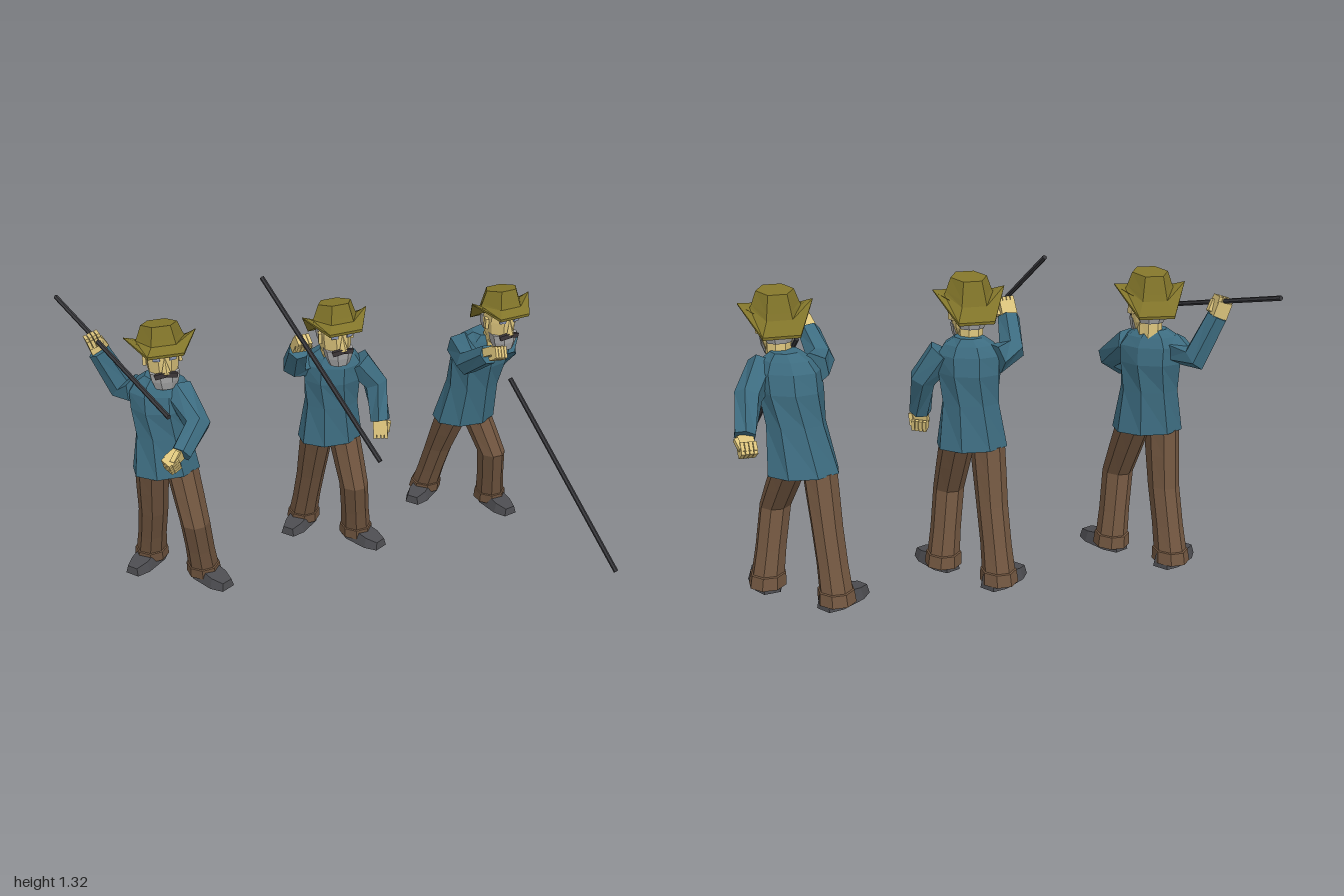
import * as THREE from 'three';

const mat = (color) => new THREE.MeshStandardMaterial({ color, flatShading: true });
const COAT = mat(0x3d6c80), PANTS = mat(0x70553f), HAT = mat(0x82752a), SKIN = mat(0xdcc47c);
const GREY = mat(0xa2a2a2), DARK = mat(0x3c3638), SHOE = mat(0x4c4c50), EYE = mat(0x8592b0), POLE = mat(0x38383c);
const UP = new THREE.Vector3(0, 1, 0);
const vec = (p) => new THREE.Vector3(...p);

function add(parent, name, geometry, material, pos = [0, 0, 0], rot = [0, 0, 0]) {
  const m = new THREE.Mesh(geometry, material);
  m.name = name;
  m.position.set(...pos);
  m.rotation.set(...rot);
  parent.add(m);
}
const box = (w, h, d) => new THREE.BoxGeometry(w, h, d);

// Skin closed rings of points, with a fan closing each end
function loft(rows, cols, point) {
  const rings = [];
  for (let i = 0; i < rows; i++) {
    const ring = [];
    for (let j = 0; j < cols; j++) ring.push(point(i, (j / cols) * Math.PI * 2, j));
    rings.push(ring);
  }
  const flat = (ring) => {
    const c = new THREE.Vector3();
    ring.forEach((p) => c.addScaledVector(p, 1 / cols));
    return ring.map(() => c);
  };
  rings.unshift(flat(rings[0]));
  rings.push(flat(rings[rows]));
  const pos = [];
  const tri = (...ps) => ps.forEach((p) => pos.push(p.x, p.y, p.z));
  for (let i = 0; i <= rows; i++) {
    for (let j = 0; j < cols; j++) {
      const k = (j + 1) % cols;
      const [a, b, c, d] = [rings[i][j], rings[i + 1][j], rings[i + 1][k], rings[i][k]];
      if (i < rows) tri(a, b, c);
      if (i > 0) tri(a, c, d);
    }
  }
  const g = new THREE.BufferGeometry();
  g.setAttribute('position', new THREE.Float32BufferAttribute(pos, 3));
  g.computeVertexNormals();
  return g;
}

// Level rings: [x, y, z, radiusX, radiusZ, yaw]
function stack(rings, cols = 8) {
  return loft(rings.length, cols, (i, a) => {
    const [x, y, z, rx, rz, yaw = 0] = rings[i];
    const t = a + Math.PI / cols;
    return new THREE.Vector3(rx * Math.cos(t), 0, rz * Math.sin(t)).applyAxisAngle(UP, yaw).add(vec([x, y, z]));
  });
}

// Rings square to a bent path
function limb(path, radii, cols = 6) {
  const pts = path.map(vec);
  return loft(pts.length, cols, (i, a) => {
    const dir = pts[Math.min(i + 1, pts.length - 1)].clone().sub(pts[Math.max(i - 1, 0)]).normalize();
    const q = new THREE.Quaternion().setFromUnitVectors(UP, dir);
    return new THREE.Vector3(radii[i] * Math.cos(a), 0, radii[i] * Math.sin(a)).applyQuaternion(q).add(pts[i]);
  });
}

// Fist reaching from the wrist along a direction
function hand(parent, name, wrist, tip) {
  const g = new THREE.Group();
  g.name = name;
  g.position.copy(vec(wrist));
  g.quaternion.setFromUnitVectors(UP, vec(tip).sub(vec(wrist)).normalize());
  add(g, 'palm', box(0.062, 0.065, 0.036), SKIN, [0, 0.03, -0.008]);
  for (let i = 0; i < 4; i++) {
    add(g, 'finger', box(0.014, 0.03, 0.05), SKIN, [-0.0245 + i * 0.0163, 0.066, 0.004]);
    add(g, 'fingertip', box(0.014, 0.035, 0.016), SKIN, [-0.0245 + i * 0.0163, 0.05, 0.025]);
  }
  add(g, 'thumb', box(0.016, 0.05, 0.02), SKIN, [0.034, 0.035, 0.014], [0.3, 0, 0.2]);
  parent.add(g);
}

function shoe(parent, name, [x, z], yaw) {
  const g = new THREE.BoxGeometry(0.112, 0.056, 0.225, 2, 1, 4);
  const p = g.attributes.position;
  for (let i = 0; i < p.count; i++) {
    const t = p.getZ(i) / 0.1125;
    p.setX(i, p.getX(i) * (Math.abs(t) > 0.9 ? 0.6 : 1));
    if (p.getY(i) > 0) p.setXYZ(i, p.getX(i) * 0.75, 0.028 - Math.max(0, t) * 0.02, p.getZ(i) * 0.95);
  }
  add(parent, name, g.toNonIndexed(), SHOE, [x + Math.sin(yaw) * 0.038, 0.028, z + Math.cos(yaw) * 0.055], [0, yaw, 0]);
}

// Trouser leg with a turned-up cuff
function leg(parent, name, hip, knee, ankle) {
  const mid = (a, b, t) => [0, 1, 2].map((k) => a[k] + (b[k] - a[k]) * t);
  add(parent, name, stack([
    [ankle[0], 0.02, ankle[2], 0.077, 0.08],
    [...mid(ankle, knee, 0.1), 0.073, 0.077],
    [...mid(ankle, knee, 0.11), 0.067, 0.07],
    [...mid(ankle, knee, 0.45), 0.063, 0.068],
    [...knee, 0.064, 0.07],
    [...mid(knee, hip, 0.55), 0.068, 0.08],
    [...hip, 0.07, 0.088],
  ]), PANTS);
}

function hat(parent) {
  // radius x, radius z, height, rise at the sides, slope to the back
  const rows = [
    [0.075, 0.08, 1.118, 0, 0.15], [0.146, 0.136, 1.082, 0.086, 0.29], [0.147, 0.138, 1.094, 0.08, 0.29],
    [0.1, 0.096, 1.133, 0.02, 0.24], [0.094, 0.088, 1.155, 0.01, 0.22], [0.074, 0.068, 1.218, 0, 0.16],
  ];
  add(parent, 'hat', loft(rows.length, 6, (i, a, j) => {
    const [rx, rz, y, rise, slope] = rows[i];
    const z = rz * Math.sin(a);
    return new THREE.Vector3(rx * Math.cos(a), y + (j % 3 === 0 ? rise : 0) + slope * z, z);
  }), HAT);
}

function head(parent, [x, y, z], yaw) {
  const g = new THREE.Group();
  g.name = 'head';
  g.position.set(x, y, z);
  g.rotation.y = yaw;
  parent.add(g);
  add(g, 'neck', stack([[0, 0.93, -0.03, 0.052, 0.052], [0, 1.04, -0.02, 0.05, 0.055]]), SKIN);
  add(g, 'face', stack([
    [0, 0.97, 0.02, 0.045, 0.055], [0, 1.02, 0.005, 0.063, 0.08], [0, 1.08, 0, 0.069, 0.086], [0, 1.13, 0.005, 0.064, 0.078],
  ]), SKIN);
  add(g, 'beard', stack([
    [0, 0.956, 0.045, 0.046, 0.038], [0, 0.99, 0.04, 0.06, 0.05], [0, 1.025, 0.035, 0.066, 0.056],
  ]), GREY);
  add(g, 'hair', stack([
    [0, 1.02, -0.04, 0.05, 0.042], [0, 1.055, -0.038, 0.066, 0.053], [0, 1.09, -0.034, 0.069, 0.055],
  ]), GREY);
  add(g, 'nose', new THREE.ConeGeometry(0.02, 0.07, 4), SKIN, [0, 1.067, 0.086], [-0.2, 0, 0]);
  for (const s of [-1, 1]) {
    add(g, 'ear', box(0.014, 0.045, 0.03), SKIN, [s * 0.07, 1.07, 0.005], [0, s * 0.3, 0]);
    add(g, 'moustache', box(0.05, 0.02, 0.018), DARK, [s * 0.022, 1.026, 0.087], [0, s * 0.35, -s * 0.3]);
    add(g, 'eye', box(0.028, 0.012, 0.01), EYE, [s * 0.033, 1.092, 0.076], [0, s * 0.25, 0]);
    add(g, 'eyebrow', box(0.036, 0.009, 0.016), GREY, [s * 0.034, 1.106, 0.077], [0, s * 0.25, s * 0.2]);
  }
  hat(g);
}

function man(name, f) {
  const g = new THREE.Group();
  g.name = name;
  const [hx, hy, hz] = f.hem, [cx, cy, cz] = f.chest;
  const at = (t) => [hx + (cx - hx) * t, hy + (cy - hy) * t, hz + (cz - hz) * t];
  add(g, 'coat', stack([
    [...at(0), 0.148, 0.112, f.twist * 0.3], [...at(0.45), 0.12, 0.1, f.twist * 0.6],
    [...at(0.75), 0.13, 0.106, f.twist], [...at(0.93), 0.132, 0.096, f.twist],
    [...at(1.03), 0.104, 0.078, f.twist], [...at(1.1), 0.06, 0.06, f.twist],
  ]), COAT);
  head(g, f.head, f.look);
  const hipY = hy + 0.005;
  leg(g, 'rightLeg', [hx - 0.062, hipY, hz - 0.008], f.rightKnee, f.rightAnkle);
  leg(g, 'leftLeg', [hx + 0.062, hipY, hz + 0.008], f.leftKnee, f.leftAnkle);
  shoe(g, 'rightShoe', [f.rightAnkle[0], f.rightAnkle[2]], -0.95);
  shoe(g, 'leftShoe', [f.leftAnkle[0], f.leftAnkle[2]], f.leftToe);
  for (const side of ['right', 'left']) {
    const [shoulder, elbow, wrist, tip] = f[side + 'Arm'];
    add(g, side + 'Sleeve', limb([shoulder, elbow, wrist], [0.066, 0.056, 0.045]), COAT);
    hand(g, side + 'Hand', wrist, tip);
  }
  add(g, 'spear', limb(f.spear, [0.01, 0.01]), POLE);
  return g;
}

export function createModel() {
  const model = new THREE.Group();
  model.name = 'threeSpearThrowers';
  // Arm drawn back
  model.add(man('windingUp', {
    hem: [-0.707, 0.555, -0.31], chest: [-0.7, 0.95, -0.33], twist: -0.45, head: [-0.685, 0, -0.318], look: -0.12,
    rightKnee: [-0.765, 0.32, -0.375], rightAnkle: [-0.768, 0.04, -0.472],
    leftKnee: [-0.635, 0.33, -0.19], leftAnkle: [-0.592, 0.04, -0.25], leftToe: 0.4,
    rightArm: [[-0.78, 0.91, -0.38], [-0.825, 0.89, -0.475], [-0.9, 1.06, -0.495], [-0.925, 1.14, -0.5]],
    leftArm: [[-0.635, 0.92, -0.28], [-0.61, 0.83, -0.13], [-0.71, 0.755, -0.055], [-0.79, 0.72, -0.03]],
    spear: [[-0.99, 1.195, -0.81], [-0.775, 0.99, 0.05]],
  }));
  // Spear raised overhead
  model.add(man('aiming', {
    hem: [0.048, 0.545, -0.29], chest: [0.055, 0.95, -0.27], twist: -0.4, head: [0.042, 0, -0.218], look: 0,
    rightKnee: [-0.012, 0.32, -0.375], rightAnkle: [-0.015, 0.04, -0.472],
    leftKnee: [0.118, 0.33, -0.185], leftAnkle: [0.16, 0.04, -0.25], leftToe: 0.4,
    rightArm: [[-0.03, 0.91, -0.33], [-0.115, 0.93, -0.29], [-0.13, 1.04, -0.2], [-0.125, 1.12, -0.15]],
    leftArm: [[0.15, 0.92, -0.23], [0.228, 0.81, -0.2], [0.225, 0.655, -0.14], [0.22, 0.57, -0.12]],
    spear: [[-0.215, 1.31, -0.38], [0.015, 0.725, 0.288]],
  }));
  // Spear just released
  model.add(man('releasing', {
    hem: [0.73, 0.495, -0.28], chest: [0.765, 0.92, -0.2], twist: -0.45, head: [0.79, -0.03, -0.118], look: 0.05,
    rightKnee: [0.66, 0.3, -0.375], rightAnkle: [0.645, 0.04, -0.472],
    leftKnee: [0.835, 0.33, -0.18], leftAnkle: [0.888, 0.04, -0.25], leftToe: 0.15,
    rightArm: [[0.67, 0.89, -0.23], [0.615, 0.885, -0.07], [0.64, 0.975, 0.055], [0.66, 1.02, 0.13]],
    leftArm: [[0.85, 0.9, -0.16], [0.925, 0.81, -0.26], [0.955, 0.69, -0.37], [0.95, 0.62, -0.42]],
    spear: [[0.675, 0.91, 0.18], [0.855, 0.265, 0.803]],
  }));
  return model;
}
